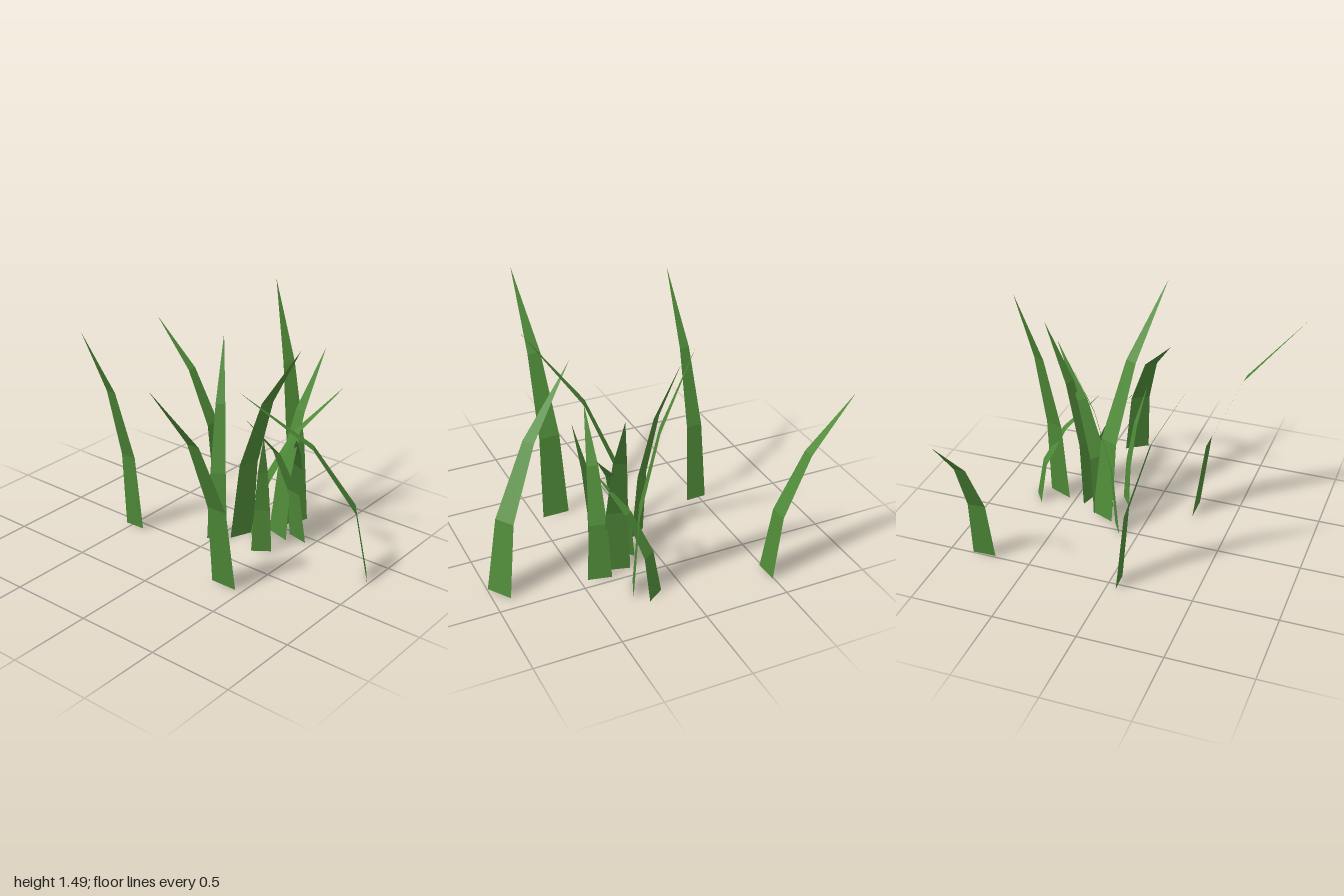
import * as THREE from 'three';

// Each blade: base x, z; tip x, y, z; base width
const BLADES = [
  [-0.25, 0.375, -0.86, 1.39, 0.38, 0.165],
  [-0.055, -0.48, -0.47, 1.39, -0.46, 0.128],
  [0.79, -0.49, 0.77, 1.03, -1.0, 0.14],
  [0.345, 0.95, -0.08, 1.12, 0.33, 0.158],
  [0.14, 0.013, 0.38, 1.22, -0.135, 0.12],
  [0.615, 0.26, 0.735, 1.49, -0.025, 0.163],
  [0.722, 0.172, 0.395, 0.68, 0.395, 0.12],
  [0.272, 0.102, 0.04, 1.4, 0.65, 0.157],
  [0.29, 0.174, 0.71, 0.95, 0.51, 0.14],
  [0.41, 0.27, 0.725, 1.15, 0.355, 0.16],
  [0.451, 0.388, 0.04, 0.9, 0.298, 0.138],
  [0.19, 0.31, 0.08, 0.81, 0.39, 0.12],
];
const TAPER = [1, 0.77, 0.48, 0];

// A flat strip in three segments that arches over towards its tip
function bladeGeometry([bx, bz, tx, ty, tz, width]) {
  const dx = tx - bx, dz = tz - bz;
  const lean = Math.hypot(dx, dz);
  const droop = 0.33 * lean;
  const sideX = -dz / lean, sideZ = dx / lean; // width runs across the lean
  const pos = [];
  TAPER.forEach((taper, i) => {
    const t = i / 3, half = width * taper / 2;
    const x = bx + dx * t * t, z = bz + dz * t * t;
    const y = (ty + droop) * t - droop * t * t;
    if (i === 3) pos.push(x, y, z);
    else pos.push(x - sideX * half, y, z - sideZ * half, x + sideX * half, y, z + sideZ * half);
  });
  const geometry = new THREE.BufferGeometry();
  geometry.setAttribute('position', new THREE.Float32BufferAttribute(pos, 3));
  geometry.setIndex([0, 2, 1, 1, 2, 3, 2, 4, 3, 3, 4, 5, 4, 6, 5]);
  const flat = geometry.toNonIndexed();
  flat.computeVertexNormals();
  return flat;
}

export function createModel() {
  const group = new THREE.Group();
  group.name = 'grassTuft';
  const green = new THREE.MeshStandardMaterial({ color: 0x4f8a38, side: THREE.DoubleSide });
  green.name = 'grassGreen';
  BLADES.forEach((blade, i) => {
    const mesh = new THREE.Mesh(bladeGeometry(blade), green);
    mesh.name = `grassBlade${i + 1}`;
    group.add(mesh);
  });
  return group;
}
